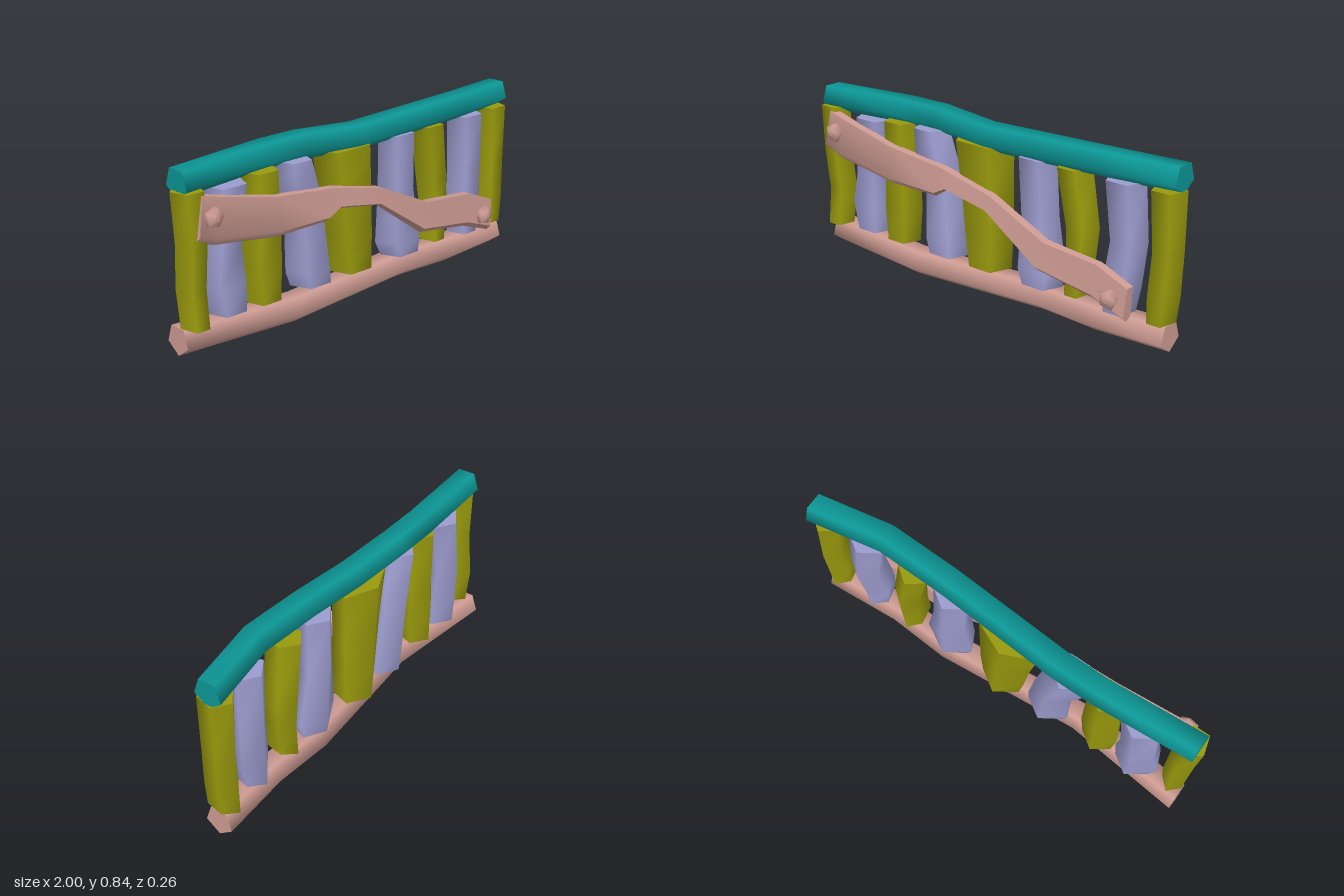
import * as THREE from 'three';
import { toCreasedNormals } from 'three/addons/utils/BufferGeometryUtils.js';

const mat = (name, color) => {
  const m = new THREE.MeshStandardMaterial({ color });
  m.name = name;
  return m;
};

// Skin a list of equal-sized rings and close both ends with flat caps
function loft(rings) {
  const n = rings[0].length, pos = rings.flat(2), idx = [];
  for (let i = 0; i < rings.length - 1; i++) {
    for (let j = 0; j < n; j++) {
      const a = i * n + j, b = i * n + (j + 1) % n;
      idx.push(a, b, b + n, a, b + n, a + n);
    }
  }
  [rings[0], rings[rings.length - 1]].forEach((ring, end) => {
    const s = pos.length / 3;
    pos.push(...ring.flat());
    for (let j = 1; j < n - 1; j++) {
      if (end) idx.push(s, s + j, s + j + 1);
      else idx.push(s, s + j + 1, s + j);
    }
  });
  const g = new THREE.BufferGeometry();
  g.setAttribute('position', new THREE.Float32BufferAttribute(pos, 3));
  g.setIndex(idx);
  g.computeVertexNormals();
  return g;
}

// Pentagon as [depth from the pointed side 0..1, side -1..1]
const PENTAGON = [0, 1, 2, 3, 4].map((k) => {
  const a = (k * Math.PI * 2) / 5;
  return [(1 - Math.cos(a)) / 1.809, Math.sin(a) / 0.951];
});

// Rail along x from [x, bottom y, centre z], point downwards
const rail = (path, h) => loft(path.map(([x, y, z]) =>
  PENTAGON.map(([t, s]) => [x, y + t * h, z - s * 0.067])));

// Upright picket from [y, x min, x max, z shift], point towards the back
const picket = (rows, front, back) => loft(rows.map(([y, x0, x1, dz = 0]) =>
  PENTAGON.map(([t, s]) => [
    (x0 + x1) / 2 - (s * (x1 - x0)) / 2, y, back + t * (front - back) + dz])));

export function createModel() {
  const teal = mat('teal', 0x0c9796);
  const pink = mat('dusty pink', 0xce9c93);
  const olive = mat('olive', 0x999a0d);
  const lavender = mat('lavender', 0x9d9dd0);

  const group = new THREE.Group();
  group.name = 'fence';
  const add = (name, geometry, material) => {
    const m = new THREE.Mesh(geometry, material);
    m.name = name;
    group.add(m);
    return m;
  };

  // Horizontal rails
  add('topRail', rail([
    [-0.975, 0.69, 0], [-0.5, 0.702, -0.035], [-0.3, 0.702, -0.035], [0, 0.685, -0.01],
    [0.3, 0.7, 0.005], [0.63, 0.712, 0.01], [0.985, 0.702, -0.052]], 0.124), teal);
  add('bottomRail', rail([
    [-0.975, 0, -0.035], [-0.4, 0, 0.028], [0.3, 0, -0.035], [0.6, 0, -0.015], [0.96, 0, -0.04]],
  0.127), pink);

  // Pickets, alternating colours, from the model's right to its left
  const pickets = [
    [0.075, -0.065, [[0.13, -0.975, -0.87], [0.3, -0.978, -0.865, -0.02], [0.5, -0.985, -0.865], [0.725, -1, -0.87]]],
    [0.045, -0.11, [[0.135, -0.81, -0.64], [0.27, -0.85, -0.63], [0.42, -0.82, -0.65, -0.01], [0.695, -0.81, -0.62]]],
    [0.045, -0.1, [[0.13, -0.61, -0.455], [0.3, -0.63, -0.44], [0.45, -0.62, -0.445], [0.715, -0.62, -0.455]]],
    [0.045, -0.115, [[0.13, -0.35, -0.16], [0.2, -0.375, -0.16], [0.45, -0.37, -0.195, -0.01], [0.58, -0.43, -0.22], [0.72, -0.43, -0.27]]],
    [0.045, -0.13, [[0.13, -0.11, 0.09], [0.3, -0.14, 0.1], [0.5, -0.165, 0.1], [0.715, -0.205, 0.1]]],
    [0.045, -0.105, [[0.13, 0.2, 0.39], [0.2, 0.165, 0.41], [0.45, 0.19, 0.36, -0.01], [0.715, 0.18, 0.35]]],
    [0.045, -0.105, [[0.145, 0.45, 0.55], [0.3, 0.455, 0.565], [0.45, 0.44, 0.575, -0.01], [0.715, 0.39, 0.54]]],
    [0.045, -0.105, [[0.13, 0.65, 0.78], [0.25, 0.635, 0.805], [0.45, 0.66, 0.82, -0.015], [0.715, 0.635, 0.81]]],
    [0.025, -0.122, [[0.13, 0.86, 0.97], [0.25, 0.855, 0.985], [0.45, 0.87, 0.99, -0.005], [0.715, 0.85, 0.995]]],
  ];
  pickets.forEach(([front, back, rows], i) =>
    add(`picket${i + 1}`, picket(rows, front, back), i % 2 ? lavender : olive));

  // Diagonal brace board: [top x, top y, bottom x, bottom y]
  const brace = [
    [-0.91, 0.71, -0.942, 0.515], [-0.8, 0.68, -0.85, 0.485], [-0.52, 0.615, -0.52, 0.435],
    [-0.2, 0.58, -0.25, 0.435], [-0.15, 0.568, -0.18, 0.478], [0.08, 0.515, 0.06, 0.435],
    [0.38, 0.375, 0.34, 0.235], [0.66, 0.35, 0.64, 0.19], [0.82, 0.285, 0.81, 0.13]];
  const section = [[0, 0.082], [0.85, 0.094], [1, 0.067], [0.9, 0.04], [0, 0.04]];
  const board = loft(brace.map(([tx, ty, bx, by]) =>
    section.map(([k, z]) => [tx + (bx - tx) * k, ty + (by - ty) * k, z])));
  add('diagonalBrace', toCreasedNormals(board, 0.9), pink);

  // Five-sided lens-shaped pegs holding the brace
  const peg = loft([[0.035, -0.03], [0.048, 0], [0.042, 0.012], [0.012, 0.022]].map(([r, z]) =>
    [0, 1, 2, 3, 4].map((k) => {
      const a = (k * Math.PI * 2) / 5 + 0.1;
      return [r * Math.cos(a), r * Math.sin(a), z];
    })));
  [[-0.87, 0.615, 0.102], [0.745, 0.228, 0.11]].forEach((p, i) =>
    add(i ? 'leftPeg' : 'rightPeg', peg, pink).position.set(...p));

  return group;
}
